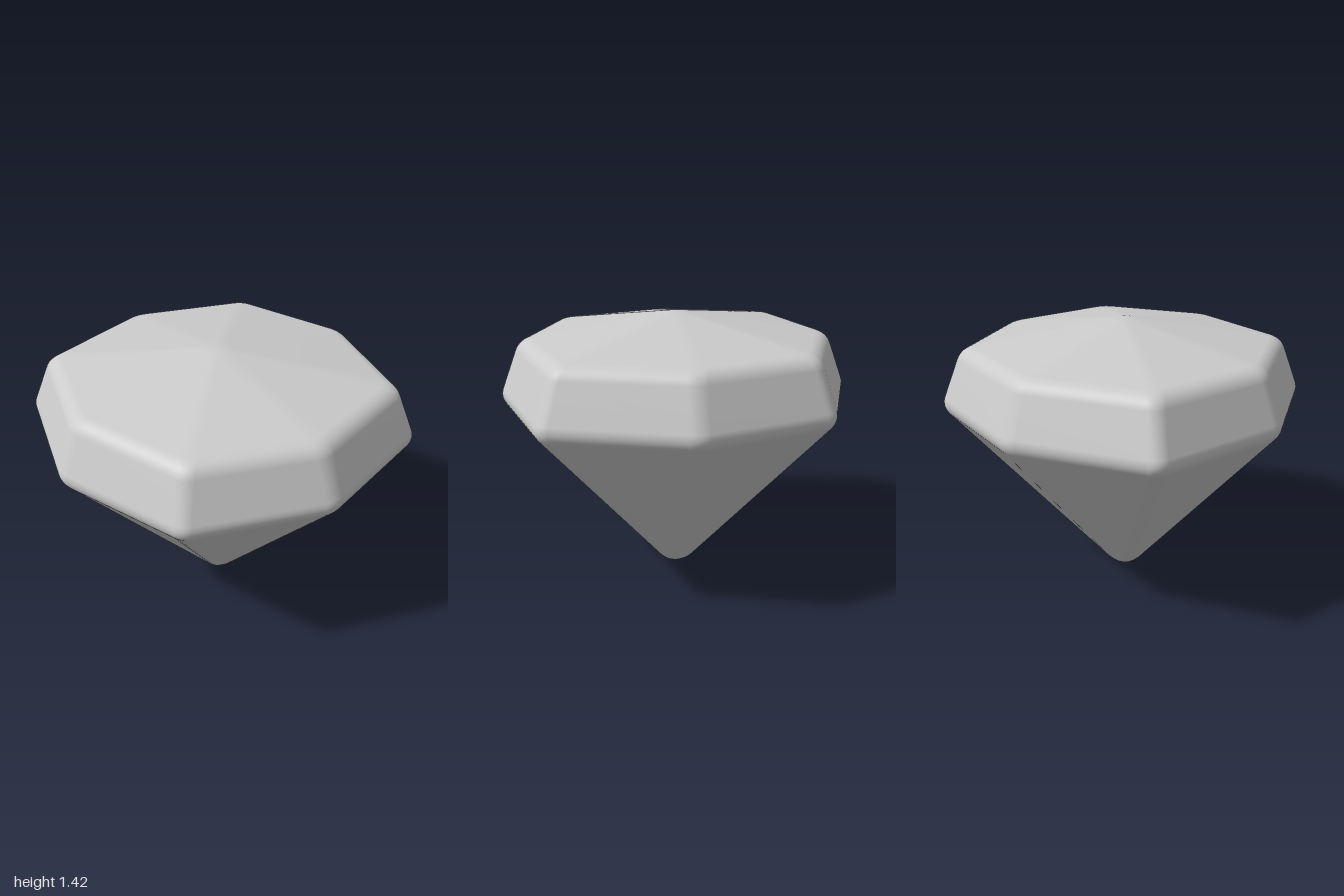
import * as THREE from 'three';
import { mergeVertices } from 'three/addons/utils/BufferGeometryUtils.js';

const V = (x, y) => new THREE.Vector2(x, y);

// Points of a corner at c, rounded between a point on each of its two legs
const roundCorner = (from, c, to, steps) =>
  new THREE.QuadraticBezierCurve(from, c, to).getPoints(steps);

// Slightly irregular octagon of the girdle (x, z), before rounding
const octagon = [
  V(1.024, 0), V(0.66, 0.655), V(0, 0.967), V(-0.66, 0.655),
  V(-1.024, 0), V(-0.66, -0.655), V(0, -0.967), V(0.66, -0.655),
];

// Octagon outline at scale s; the corner rounding keeps a constant size
function ring(s) {
  const t = Math.min(0.065 / Math.max(s, 0.001), 0.4);
  return octagon.flatMap((c, i) => {
    const prev = octagon[(i + 7) % 8], next = octagon[(i + 1) % 8];
    return roundCorner(c.clone().lerp(prev, t), c, c.clone().lerp(next, t), 6)
      .map((p) => p.multiplyScalar(s));
  });
}

// Profile of (scale, height) from the lower tip to the apex
function profile() {
  const tip = V(0, -0.066), girdle = V(1, 1.0), crown = V(0.88, 1.297), apex = V(0, 1.434);
  const toward = (a, b, d) => a.clone().add(b.clone().sub(a).setLength(d));
  const mirror = (p) => V(-p.x, p.y);
  const tipLeg = toward(tip, girdle, 0.19), apexLeg = toward(apex, crown, 0.09);
  return [
    ...roundCorner(mirror(tipLeg), tip, tipLeg, 16).slice(8),
    ...roundCorner(toward(girdle, tip, 0.055), girdle, toward(girdle, crown, 0.05), 8),
    ...roundCorner(toward(crown, girdle, 0.06), crown, toward(crown, apex, 0.07), 8),
    ...roundCorner(apexLeg, apex, mirror(apexLeg), 8).slice(0, 5),
  ];
}

// Skin the rings from bottom to top
function gemGeometry() {
  const positions = [], index = [];
  const rows = profile();
  const n = ring(1).length;
  rows.forEach((row, i) => {
    const s = Math.abs(row.x) < 1e-6 ? 0 : row.x;
    ring(s).forEach((p, j) => {
      positions.push(p.x, row.y, p.y);
      if (i === rows.length - 1) return;
      const a = i * n + j, b = i * n + ((j + 1) % n);
      if (i < rows.length - 2) index.push(a, a + n, b + n);
      else index.push(a, a + n, b);
      if (i > 0 && i < rows.length - 2) index.push(a, b + n, b);
    });
  });
  const geometry = new THREE.BufferGeometry();
  geometry.setAttribute('position', new THREE.Float32BufferAttribute(positions, 3));
  geometry.setIndex(index);
  const welded = mergeVertices(geometry, 1e-5);
  welded.computeVertexNormals();
  return welded;
}

export function createModel() {
  const group = new THREE.Group();
  const gem = new THREE.Mesh(gemGeometry(), new THREE.MeshStandardMaterial({ color: 0xcccccc }));
  gem.name = 'gem';
  group.add(gem);
  return group;
}
